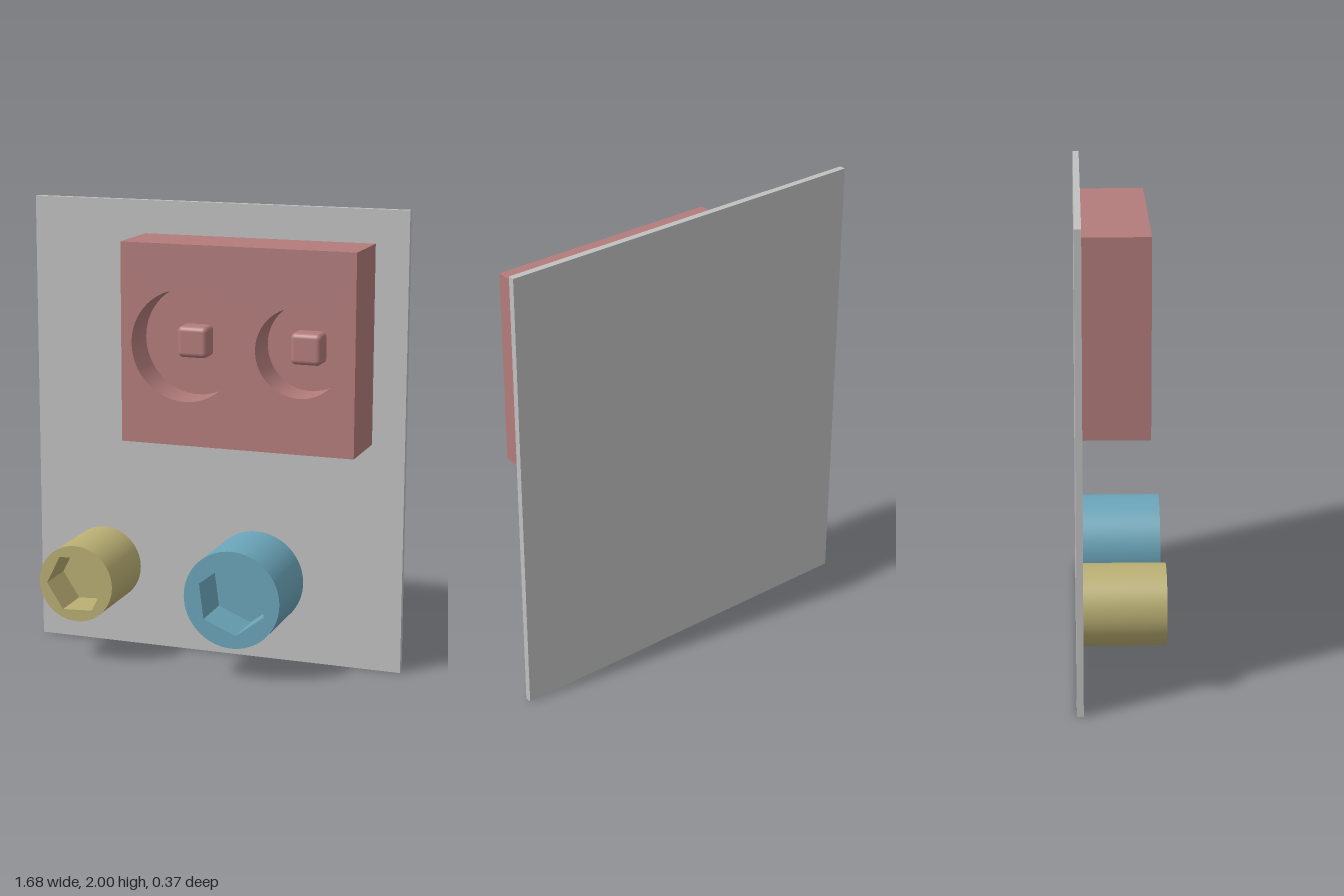
import * as THREE from 'three';
import { toCreasedNormals } from 'three/addons/utils/BufferGeometryUtils.js';
import { RoundedBoxGeometry } from 'three/addons/geometries/RoundedBoxGeometry.js';

const BOARD_FACE = -0.157;

const colour = (name, hex) => {
  const m = new THREE.MeshStandardMaterial({ color: hex });
  m.name = name;
  return m;
};

const circle = (x, y, r, Type = THREE.Shape) => new Type().absarc(x, y, r, 0, Math.PI * 2, false);

function hexagon(r, turn, Type = THREE.Shape) {
  const points = [];
  for (let i = 0; i < 6; i++) {
    const a = turn + (i * Math.PI) / 3;
    points.push(new THREE.Vector2(r * Math.cos(a), r * Math.sin(a)));
  }
  return new Type(points);
}

function addMesh(parent, name, geometry, material, x = 0, y = 0, z = 0) {
  const mesh = new THREE.Mesh(geometry, material);
  mesh.name = name;
  mesh.position.set(x, y, z);
  parent.add(mesh);
  return mesh;
}

// Extrudes an outline forward, keeping round walls smooth and corners sharp
const extrude = (shape, depth) =>
  toCreasedNormals(new THREE.ExtrudeGeometry(shape, { depth, bevelEnabled: false, curveSegments: 32 }), 0.5);

// Round post with a blind hexagonal socket in its front
function hexPost(name, material, x, y, radius, hexRadius, turn, socketDepth) {
  const group = new THREE.Group();
  group.name = name;
  const length = 0.185 - BOARD_FACE;
  const outline = circle(0, 0, radius);
  outline.holes.push(hexagon(hexRadius, turn, THREE.Path));
  addMesh(group, name + 'Wall', extrude(outline, length), material);
  addMesh(group, name + 'SocketFloor', new THREE.ShapeGeometry(hexagon(hexRadius, turn)), material, 0, 0, length - socketDepth);
  group.position.set(x, y, BOARD_FACE);
  return group;
}

// Block with two round wells, each holding a rounded peg
function wellBlock(material) {
  const group = new THREE.Group();
  group.name = 'wellBlock';
  const front = 0.13, floorZ = -0.04, pegFront = 0.045;
  const wells = [[-0.043, 1.43, 0.238], [0.457, 1.43, 0.19]];

  const outline = new THREE.Shape([
    new THREE.Vector2(-0.328, 1.003), new THREE.Vector2(0.696, 1.003),
    new THREE.Vector2(0.696, 1.857), new THREE.Vector2(-0.328, 1.857),
  ]);
  wells.forEach(([x, y, r]) => outline.holes.push(circle(x, y, r, THREE.Path)));
  addMesh(group, 'blockBody', extrude(outline, front - BOARD_FACE), material, 0, 0, BOARD_FACE);

  wells.forEach(([x, y, r]) => {
    addMesh(group, 'wellFloor', new THREE.ShapeGeometry(circle(x, y, r), 32), material, 0, 0, floorZ);
    // The peg's back end is sunk through the well floor
    const length = pegFront - floorZ + 0.04;
    addMesh(group, 'peg', new RoundedBoxGeometry(0.134, 0.134, length, 4, 0.022), material, x, y, pegFront - length / 2);
  });
  return group;
}

export function createModel() {
  const model = new THREE.Group();
  model.name = 'toolHolderBoard';

  const grey = colour('grey', 0xc0c0c0);
  const red = colour('dusty red', 0xb27c7b);
  const yellow = colour('straw yellow', 0xb9ae73);
  const blue = colour('soft blue', 0x6aa4b8);

  // Back board
  const thickness = BOARD_FACE + 0.185;
  addMesh(model, 'backBoard', new THREE.BoxGeometry(1.68, 2, thickness), grey, 0, 1, -0.185 + thickness / 2);

  model.add(wellBlock(red));

  const deg = Math.PI / 180;
  model.add(hexPost('smallPost', yellow, -0.53, 0.36, 0.17, 0.136, 3 * deg, 0.18));
  model.add(hexPost('largePost', blue, 0.185, 0.36, 0.214, 0.157, 37.5 * deg, 0.2));
  return model;
}
